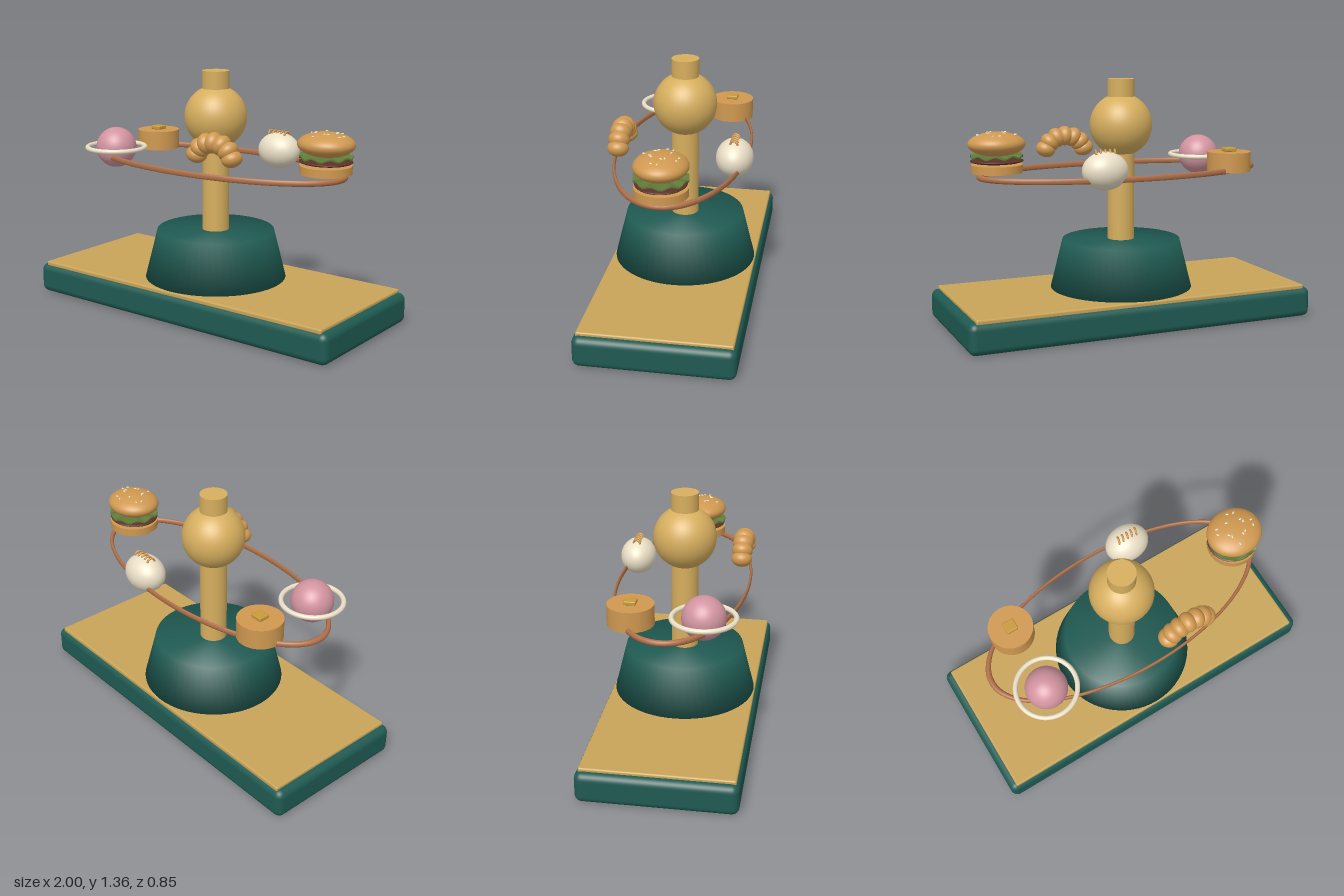
import * as THREE from 'three';
import { RoundedBoxGeometry } from 'three/addons/geometries/RoundedBoxGeometry.js';

const COLORS = {
  green: 0x1f5a52, brass: 0xd6ae5e, plate: 0xc8a458, copper: 0xb07048, pink: 0xd294a0,
  cream: 0xeadfc6, bun: 0xcf9850, butter: 0xc99a3c, patty: 0x5a3028, lettuce: 0x5f7a38,
};
const materials = {};
function mat(color) {
  if (!materials[color]) materials[color] = new THREE.MeshStandardMaterial({ color: COLORS[color] });
  return materials[color];
}

function add(parent, name, geometry, color, x = 0, y = 0, z = 0) {
  const mesh = new THREE.Mesh(geometry, mat(color));
  mesh.name = name;
  mesh.position.set(x, y, z);
  parent.add(mesh);
  return mesh;
}

function group(parent, name, x, y, z) {
  const g = new THREE.Group();
  g.name = name;
  g.position.set(x, y, z);
  parent.add(g);
  return g;
}

const ball = (rx, ry = rx, rz = rx) => new THREE.SphereGeometry(1, 40, 28).scale(rx, ry, rz);
const flatRing = (r, tube) => new THREE.TorusGeometry(r, tube, 16, 96).rotateX(Math.PI / 2);

function addStand(model) {
  add(model, 'base', new RoundedBoxGeometry(2, 0.17, 0.845, 5, 0.04), 'green', 0, 0.085, 0);
  add(model, 'basePlate', new RoundedBoxGeometry(1.92, 0.03, 0.81, 3, 0.01), 'plate', 0, 0.172, 0);
  // Tapered pedestal with softly shaded rims
  const profile = [[0, 0.18], [0.4, 0.18], [0.33, 0.46], [0, 0.46]].map(p => new THREE.Vector2(...p));
  add(model, 'pedestal', new THREE.LatheGeometry(profile, 64), 'green');
  add(model, 'column', new THREE.CylinderGeometry(0.075, 0.075, 0.905, 40), 'brass', 0, 0.9025, 0);
  add(model, 'centralSphere', ball(0.174), 'brass', 0, 1.1, 0);
  add(model, 'orbitRing', flatRing(0.81, 0.016).scale(1, 1, 0.445), 'copper', 0, 0.845, 0);
}

function addPlanet(model) {
  const g = group(model, 'ringedPlanet', -0.58, 0.89, 0.185);
  add(g, 'planetBall', ball(0.115), 'pink');
  add(g, 'planetRing', flatRing(0.165, 0.0135), 'cream');
}

function addPancake(model) {
  const g = group(model, 'pancake', -0.58, 0.89, -0.19);
  add(g, 'pancakeBody', new THREE.CylinderGeometry(0.122, 0.122, 0.11, 48), 'bun');
  add(g, 'butter', new RoundedBoxGeometry(0.065, 0.022, 0.065, 2, 0.006), 'butter', 0, 0.066, 0);
}

function addCroissant(model) {
  // Seven overlapping lobes along an arch
  const g = group(model, 'croissant', 0.222, 0.915, 0.303);
  const lobes = 7;
  for (let i = 0; i < lobes; i++) {
    const a = THREE.MathUtils.degToRad(18 + (144 * i) / (lobes - 1));
    const lobe = add(g, 'croissantLobe', ball(0.056, 0.045, 0.057), 'bun', 0.122 * Math.cos(a), 0.105 * Math.sin(a), 0);
    lobe.rotation.z = a;
  }
}

function addDumpling(model) {
  const g = group(model, 'dumpling', 0.22, 0.89, -0.303);
  add(g, 'dumplingBody', ball(0.126, 0.102, 0.1), 'cream');
  // Row of small arched pleats on top
  for (let i = -2; i <= 2; i++) {
    const pleat = new THREE.TorusGeometry(0.02, 0.006, 8, 20, Math.PI).rotateY(Math.PI / 2 - 0.25);
    add(g, 'dumplingPleat', pleat, 'bun', i * 0.027, 0.09, 0);
  }
}

function addBurger(model) {
  const g = group(model, 'burger', 0.718, 0, 0);
  add(g, 'bottomBun', new THREE.CylinderGeometry(0.138, 0.138, 0.044, 48), 'bun', 0, 0.893, 0);
  add(g, 'patty', ball(0.143, 0.018, 0.133), 'patty', 0, 0.934, 0);

  // Wavy lettuce: a thin disc whose edge ripples
  const lettuce = new THREE.CylinderGeometry(0.14, 0.14, 0.008, 72, 4);
  const p = lettuce.attributes.position;
  for (let i = 0; i < p.count; i++) {
    const r = Math.hypot(p.getX(i), p.getZ(i));
    const a = Math.atan2(p.getZ(i), p.getX(i));
    p.setY(i, p.getY(i) + 0.007 * (r / 0.14) * Math.sin(9 * a));
  }
  lettuce.computeVertexNormals();
  add(g, 'lettuce', lettuce, 'lettuce', 0, 0.96, 0);

  const [rx, ry, rz] = [0.155, 0.065, 0.14];
  add(g, 'topBun', ball(rx, ry, rz), 'bun', 0, 1.023, 0);
  // Sesame seeds in two staggered rings
  for (let i = 0; i < 14; i++) {
    const a = i * 2.4;
    const t = i % 2 ? 0.38 : 0.66;
    const seed = add(g, 'sesameSeed', ball(0.009, 0.004, 0.005), 'cream',
      rx * t * Math.cos(a), 1.024 + ry * Math.sqrt(1 - t * t), rz * t * Math.sin(a));
    seed.rotation.y = i * 1.3;
  }
}

export function createModel() {
  const model = new THREE.Group();
  model.name = 'foodOrrery';
  addStand(model);
  addPlanet(model);
  addPancake(model);
  addCroissant(model);
  addDumpling(model);
  addBurger(model);
  return model;
}
